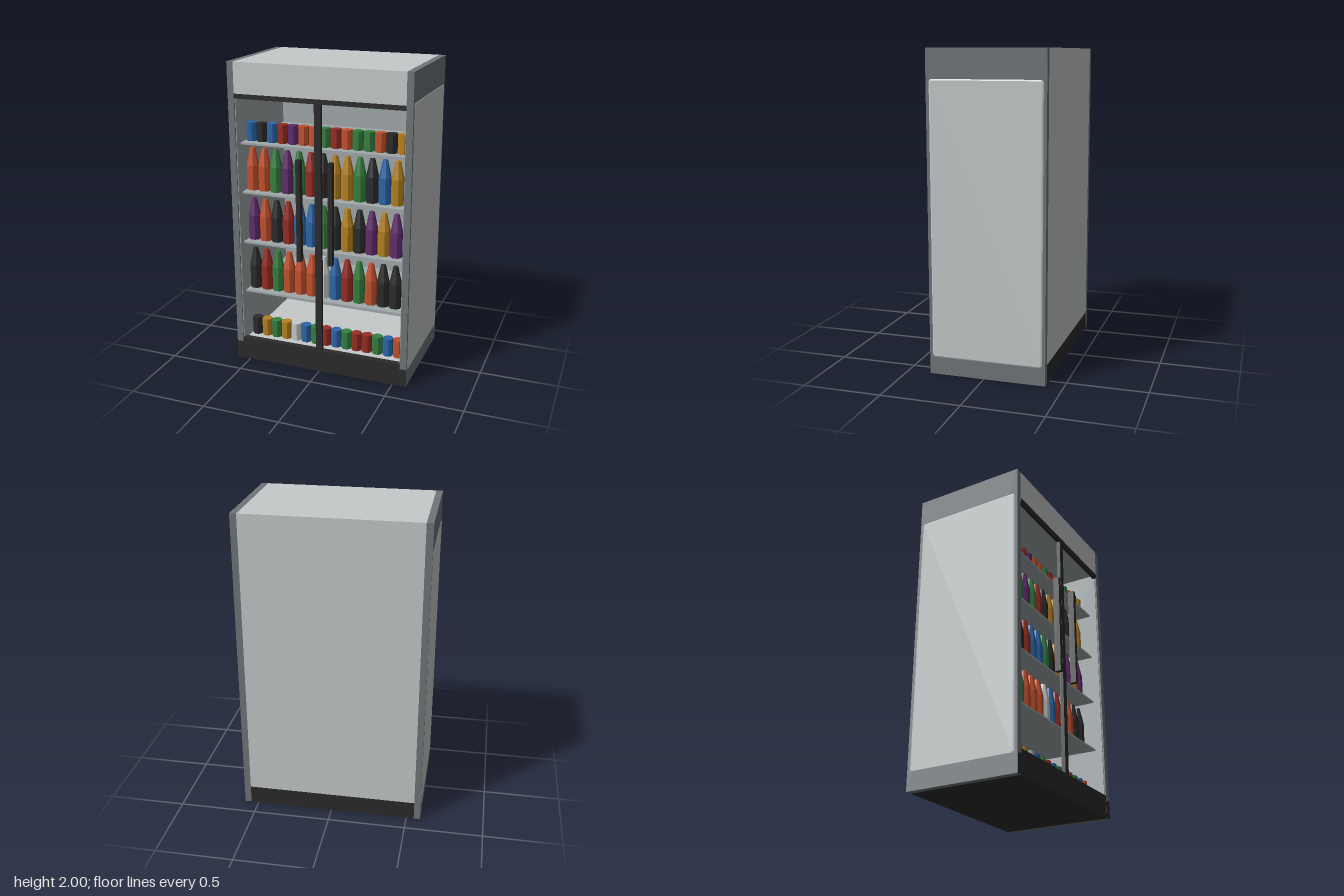
import * as THREE from 'three';

const mat = (name, color) => {
  const m = new THREE.MeshStandardMaterial({ color });
  m.name = name;
  return m;
};

export function createModel() {
  const M = {
    panel: mat('pale panel', 0xc5caca),
    wall: mat('grey frame', 0x6f7578),
    inner: mat('interior grey', 0xa2a9ab),
    k: mat('black', 0x2b2b2b),
    o: mat('orange', 0xc4512d),
    r: mat('red', 0x962d24),
    g: mat('green', 0x35803f),
    p: mat('purple', 0x622c6c),
    b: mat('blue', 0x2b66a8),
    y: mat('yellow', 0xb5811f),
  };
  M.w = M.panel;
  const root = new THREE.Group();
  root.name = 'drinksFridge';

  // box given by its limits on each axis
  const box = (name, m, x0, x1, y0, y1, z0, z1) => {
    const mesh = new THREE.Mesh(new THREE.BoxGeometry(x1 - x0, y1 - y0, z1 - z0), m);
    mesh.position.set((x0 + x1) / 2, (y0 + y1) / 2, (z0 + z1) / 2);
    mesh.name = name;
    root.add(mesh);
    return mesh;
  };

  // cabinet shell
  box('base', M.k, -0.55, 0.55, 0, 0.12, -0.39, 0.35);
  box('frontSill', M.k, -0.55, 0.55, 0.12, 0.15, 0.31, 0.35);
  box('floor', M.panel, -0.55, 0.55, 0.12, 0.13, -0.37, 0.31);
  box('header', M.panel, -0.55, 0.55, 1.805, 2, -0.39, 0.35);
  box('backPanel', M.panel, -0.55, 0.55, 0.12, 1.805, -0.39, -0.375);
  box('backLiner', M.inner, -0.55, 0.55, 0.13, 1.8, -0.375, -0.37);
  box('ceilingLiner', M.inner, -0.55, 0.55, 1.8, 1.805, -0.37, 0.325);

  // raised side panel with chamfered rim, facing +z before turning
  const rim = 0.008, hw = 0.35 - rim, hh = 0.855 - rim, c = 0.008;
  const outline = new THREE.Shape([
    [-hw + c, -hh], [hw - c, -hh], [hw, -hh + c], [hw, hh - c],
    [hw - c, hh], [-hw + c, hh], [-hw, hh - c], [-hw, -hh + c],
  ].map(([x, y]) => new THREE.Vector2(x, y)));
  const panelGeo = new THREE.ExtrudeGeometry(outline, {
    depth: 0.001, bevelEnabled: true, bevelThickness: 0.004, bevelSize: rim, bevelSegments: 1,
  });

  for (const s of [-1, 1]) {
    const side = s > 0 ? 'left' : 'right';
    const span = (a, b) => (s > 0 ? [a, b] : [-b, -a]);
    box(side + 'Wall', M.wall, ...span(0.55, 0.592), 0, 2, -0.39, 0.35);
    box(side + 'Liner', M.inner, ...span(0.545, 0.55), 0.13, 1.8, -0.37, 0.34);
    box(side + 'Toe', M.k, ...span(0.55, 0.592), 0, 0.12, 0.35, 0.352);
    const panel = new THREE.Mesh(panelGeo, M.panel);
    panel.name = side + 'SidePanel';
    panel.rotation.y = s * Math.PI / 2;
    panel.position.set(s * 0.591, 0.965, -0.02);
    root.add(panel);
  }

  // door frame and handles
  box('doorTopRail', M.k, -0.55, 0.55, 1.775, 1.805, 0.325, 0.351);
  box('doorMullion', M.k, -0.021, 0.021, 0.15, 1.775, 0.325, 0.35);
  box('rightHandle', M.k, -0.13, -0.102, 0.77, 1.43, 0.35, 0.39);
  box('leftHandle', M.k, 0.08, 0.108, 0.77, 1.43, 0.35, 0.39);

  // faceted containers, one flat side to the front
  const facet = (points) => {
    const g = new THREE.LatheGeometry(points.map(([r, y]) => new THREE.Vector2(r, y)), 8, Math.PI / 8)
      .toNonIndexed();
    g.computeVertexNormals();
    return g;
  };
  const bottleGeo = facet([[0, 0], [0.04, 0], [0.04, 0.165], [0.016, 0.278], [0, 0.278]]);
  const canGeo = facet([[0, 0], [0.035, 0], [0.035, 0.12], [0, 0.12]]);

  // shelves and their rows; each letter is a colour, from the right wall to the left
  const rows = [
    { y: 0.13, can: true, colours: 'kygywbgrbgrrgbo' },
    { y: 0.475, colours: 'krgooowbrgokk' },
    { y: 0.82, colours: 'pokrbbgkykpyp' },
    { y: 1.16, colours: 'oogpgrkyygkby' },
    { y: 1.485, can: true, colours: 'bkbrpoogroggoky' },
  ];
  rows.forEach(({ y, can, colours }, i) => {
    if (i > 0) box('shelf' + i, M.inner, -0.545, 0.545, y - 0.012, y, -0.37, 0.29);
    const row = new THREE.Group();
    row.name = (can ? 'canRow' : 'bottleRow') + i;
    const step = can ? 0.0716 : 0.081;
    [...colours].forEach((key, n) => {
      const item = new THREE.Mesh(can ? canGeo : bottleGeo, M[key]);
      item.name = can ? 'can' : 'bottle';
      item.position.set(-0.505 + n * step, y, 0.205);
      row.add(item);
    });
    root.add(row);
  });
  return root;
}
